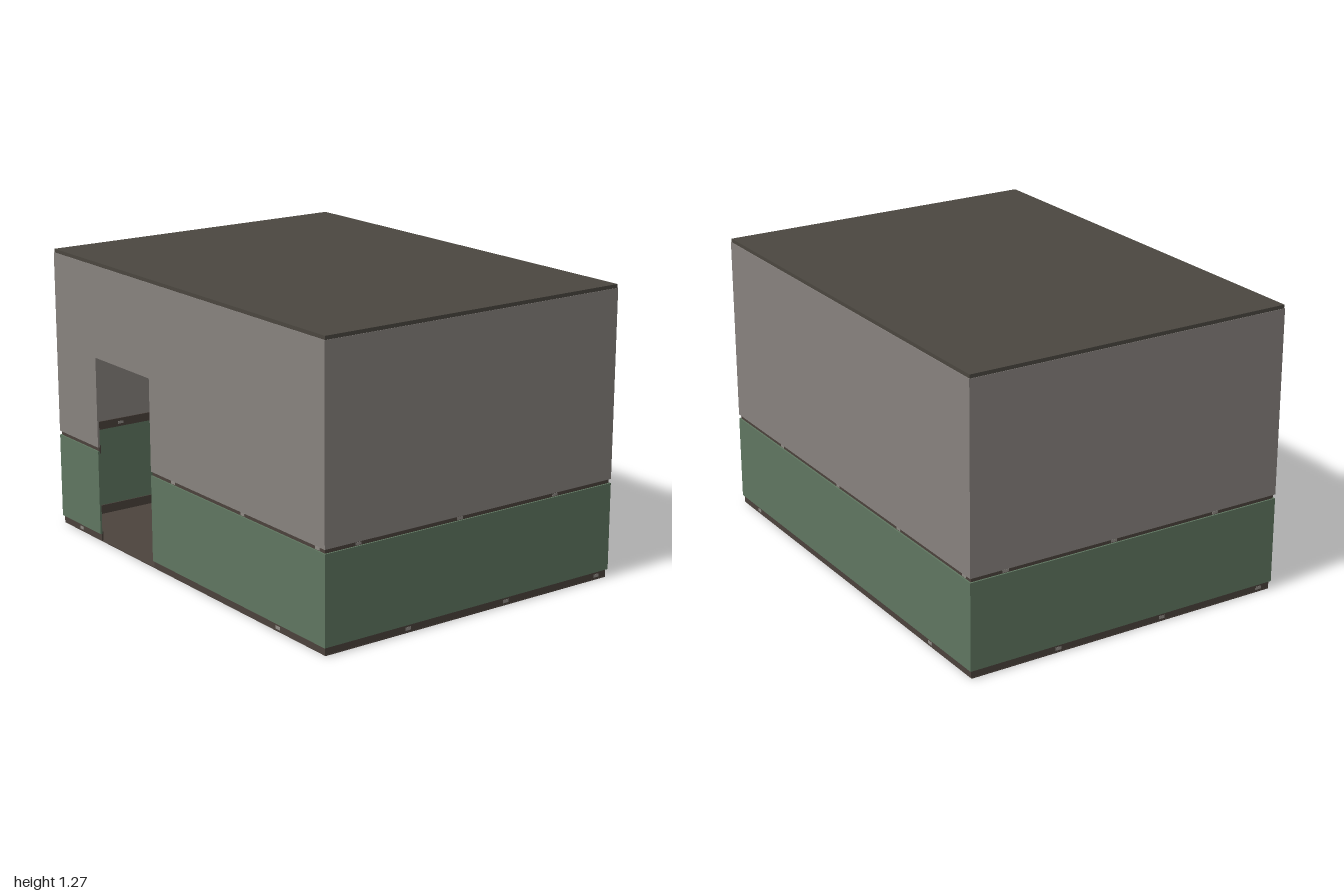
import * as THREE from 'three';

const HX = 0.745, HZ = 1;                 // outer half width and half depth
const DOOR = { z0: -0.667, z1: -0.233, top: 0.842 };

const mat = (name, color) => {
  const m = new THREE.MeshStandardMaterial({ color });
  m.name = name;
  return m;
};

export function createModel() {
  const room = new THREE.Group();
  room.name = 'room';
  const grey = mat('upper wall grey', 0x87827e);
  const green = mat('lower wall green', 0x5f7660);
  const trim = mat('trim brown', 0x4b423c);
  const floorBrown = mat('floor brown', 0x4c433d);
  const roofDark = mat('roof dark', 0x4b4740);
  const chip = mat('chip grey', 0x8f8b85);

  // Box given by its minimum and maximum corners
  const box = (name, m, x0, x1, y0, y1, z0, z1) => {
    const mesh = new THREE.Mesh(new THREE.BoxGeometry(x1 - x0, y1 - y0, z1 - z0), m);
    mesh.position.set((x0 + x1) / 2, (y0 + y1) / 2, (z0 + z1) / 2);
    mesh.name = name;
    room.add(mesh);
  };

  // Four-sided band of wall; the -x side is split around the doorway
  const band = (name, m, y0, y1, inset, t) => {
    const x = HX - inset, z = HZ - inset;
    box(name + 'Front', m, -x, x, y0, y1, z - t, z);
    box(name + 'Back', m, -x, x, y0, y1, -z, -z + t);
    box(name + 'PlainSide', m, x - t, x, y0, y1, -z + t, z - t);
    const cut = Math.min(y1, DOOR.top);
    box(name + 'DoorSideA', m, -x, -x + t, y0, cut, -z + t, DOOR.z0);
    box(name + 'DoorSideB', m, -x, -x + t, y0, cut, DOOR.z1, z - t);
    if (y1 > cut) box(name + 'OverDoor', m, -x, -x + t, cut, y1, -z + t, z - t);
  };

  // Walls: coloured panels with recessed trim strips between them
  band('lowerWall', green, 0.035, 0.417, 0, 0.009);
  band('upperWall', grey, 0.435, 1.252, 0, 0.009);
  band('baseboard', trim, 0.002, 0.045, 0.007, 0.007);
  band('chairRail', trim, 0.407, 0.445, 0.007, 0.007);

  // Floor and roof
  box('floor', floorBrown, -0.737, 0.737, 0, 0.004, -0.994, 0.994);
  box('roof', roofDark, -0.742, 0.742, 1.25, 1.268, -0.998, 0.998);

  // Small pale chips in the trim, repeated with half-turn symmetry
  const c = 0.0045, hw = 0.014;
  const chips = (name, y0, y1, frontXs, sideZs) => {
    for (const s of [1, -1]) {
      const z = s * (HZ - 0.0105), x = s * (HX - 0.0105);
      for (const p of frontXs) box(name, chip, s * p - hw, s * p + hw, y0, y1, z - c, z + c);
      for (const p of sideZs) {
        const q = s * p;
        if (s < 0 && q > DOOR.z0 - hw && q < DOOR.z1 + hw) continue;
        box(name, chip, x - c, x + c, y0, y1, q - hw, q + hw);
      }
    }
  };
  chips('railChip', 0.419, 0.431, [-0.58, -0.07, 0.435], [0.58, 0.07, -0.44, -0.945]);
  chips('baseChip', 0.01, 0.024, [-0.33, 0.18, 0.685], [-0.68, 0.84]);
  return room;
}
